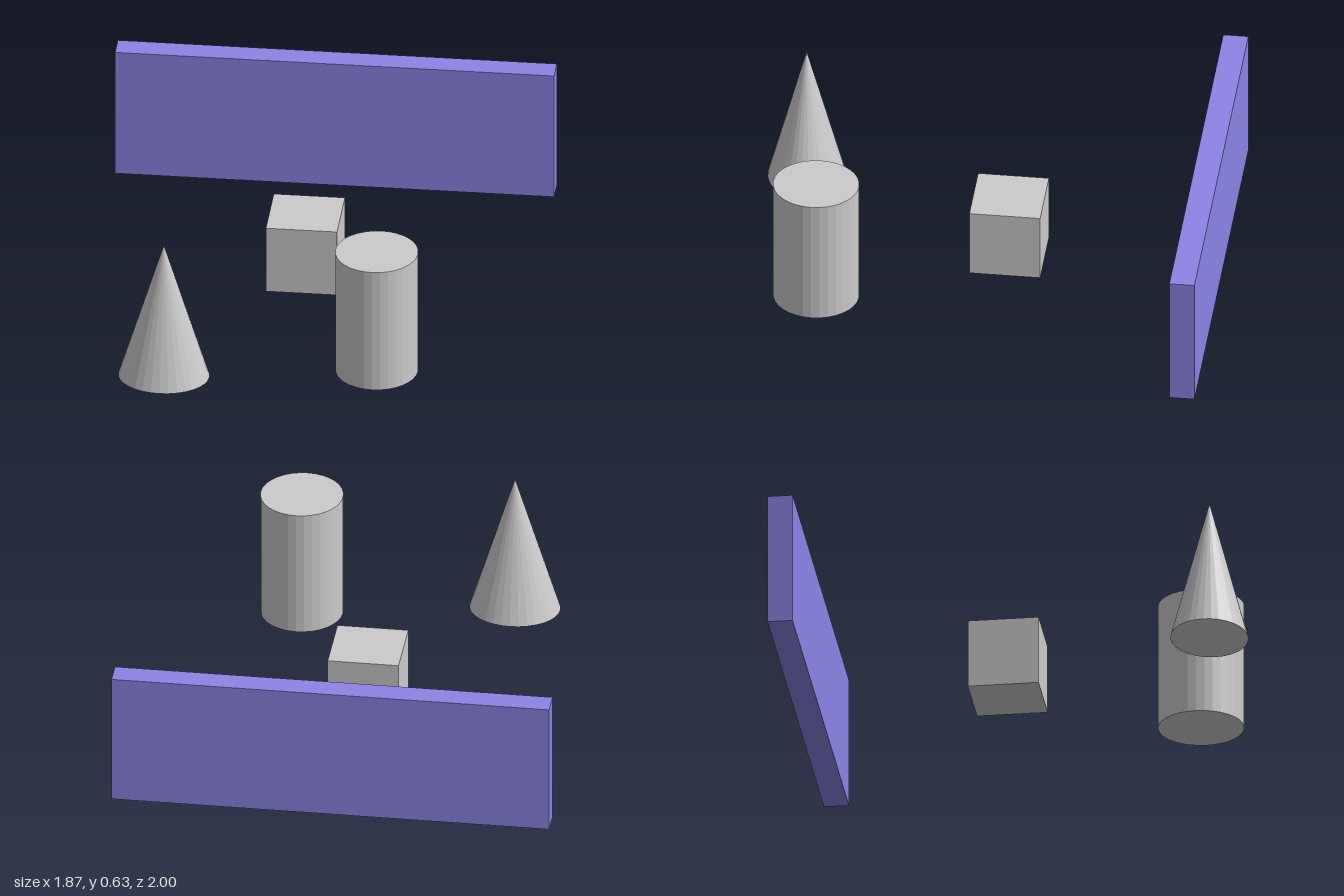
import * as THREE from 'three';

export function createModel() {
  const model = new THREE.Group();
  const grey = new THREE.MeshStandardMaterial({ color: 0xcccccc, flatShading: true });
  const violet = new THREE.MeshStandardMaterial({ color: 0x8c84e6, flatShading: true });

  // Each unit solid is scaled to its size and set down on the ground at (x, z)
  function add(name, geometry, material, [w, h, d], x, z) {
    const mesh = new THREE.Mesh(geometry, material);
    mesh.name = name;
    mesh.scale.set(w, h, d);
    mesh.position.set(x, h / 2, z);
    model.add(mesh);
  }

  const box = new THREE.BoxGeometry(1, 1, 1);
  const cylinder = new THREE.CylinderGeometry(0.5, 0.5, 1, 32);
  const cone = new THREE.ConeGeometry(0.5, 1, 32);

  add('backWall', box, violet, [1.87, 0.585, 0.107], 0, -0.946);
  add('cube', box, grey, [0.303, 0.305, 0.302], -0.035, -0.09);
  add('cylinder', cylinder, grey, [0.352, 0.568, 0.366], 0.355, 0.685);
  // Slightly oval footprint
  add('cone', cone, grey, [0.387, 0.628, 0.33], -0.535, 0.835);

  return model;
}
